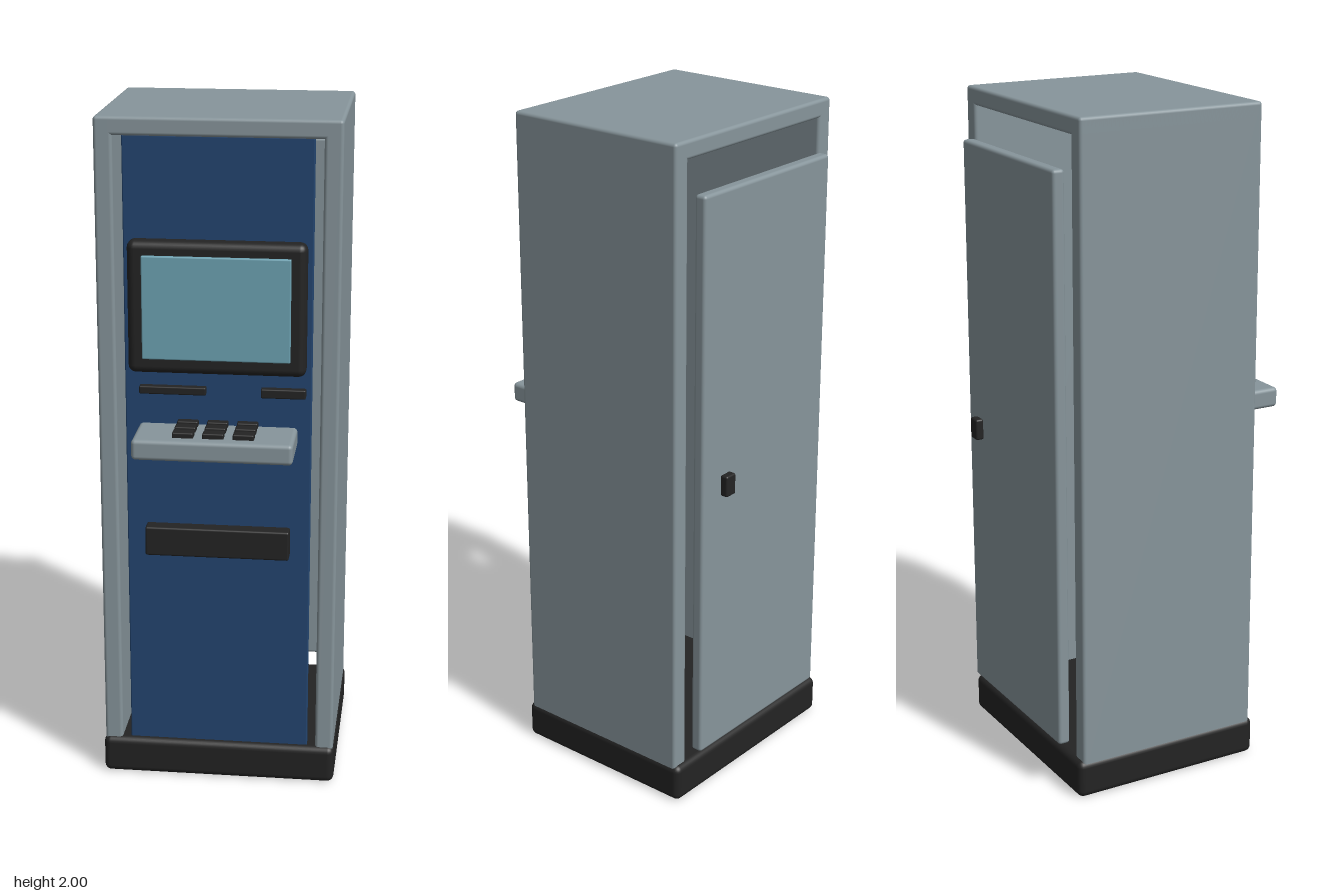
import * as THREE from 'three';
import { RoundedBoxGeometry } from 'three/addons/geometries/RoundedBoxGeometry.js';

const material = (name, color) => {
  const m = new THREE.MeshStandardMaterial({ color });
  m.name = name;
  return m;
};

export function createModel() {
  const grey = material('cabinetGrey', 0x87959b);
  const blue = material('panelBlue', 0x234570);
  const black = material('trimBlack', 0x232323);
  const glass = material('screenBlue', 0x6da3b3);

  const model = new THREE.Group();
  model.name = 'kiosk';

  // Rounded box given by its limits on each axis
  const box = (name, mat, [x0, x1], [y0, y1], [z0, z1], radius, parent = model) => {
    const geo = new RoundedBoxGeometry(x1 - x0, y1 - y0, z1 - z0, 3, radius);
    const mesh = new THREE.Mesh(geo, mat);
    mesh.position.set((x0 + x1) / 2, (y0 + y1) / 2, (z0 + z1) / 2);
    mesh.name = name;
    parent.add(mesh);
    return mesh;
  };

  // Plinth
  box('base', black, [-0.35, 0.35], [0, 0.115], [-0.343, 0.26], 0.02);

  // Open shell: two side walls and a roof, open at front and back
  const shell = new THREE.Group();
  shell.name = 'shell';
  model.add(shell);
  const depth = [-0.327, 0.248];
  box('leftWall', grey, [0.293, 0.346], [0.09, 2], depth, 0.01, shell);
  box('rightWall', grey, [-0.346, -0.293], [0.09, 2], depth, 0.01, shell);
  box('roof', grey, [-0.346, 0.346], [1.947, 2], depth, 0.01, shell);

  // Front panel, slightly recessed
  box('frontPanel', blue, [-0.268, 0.268], [0.1, 1.95], [0.218, 0.24], 0.004);

  // Monitor
  box('screenBezel', black, [-0.253, 0.253], [1.28, 1.662], [0.225, 0.285], 0.022);
  box('screen', glass, [-0.21, 0.21], [1.325, 1.622], [0.275, 0.295], 0.004);

  // Slots below the monitor
  box('wideSlot', black, [-0.225, -0.033], [1.213, 1.236], [0.23, 0.262], 0.004);
  box('cardSlot', black, [0.124, 0.252], [1.211, 1.238], [0.23, 0.262], 0.004);

  // Keyboard shelf with a 3 x 3 set of keys
  box('keyShelf', grey, [-0.228, 0.228], [1.06, 1.12], [0.2, 0.405], 0.012);
  const keys = new THREE.Group();
  keys.name = 'keys';
  model.add(keys);
  for (const z of [0.351, 0.298, 0.245]) {
    for (const x of [-0.086, 0, 0.086]) {
      box('key', black, [x - 0.03, x + 0.03], [1.112, 1.135], [z - 0.019, z + 0.019], 0.004, keys);
    }
  }

  // Output tray
  box('outputTray', black, [-0.21, 0.21], [0.726, 0.814], [0.225, 0.283], 0.006);

  // Rear door and its handle
  box('rearDoor', grey, [-0.281, 0.281], [0.153, 1.855], [-0.374, -0.337], 0.01);
  box('doorHandle', black, [0.17, 0.211], [0.97, 1.034], [-0.405, -0.38], 0.006);

  return model;
}
